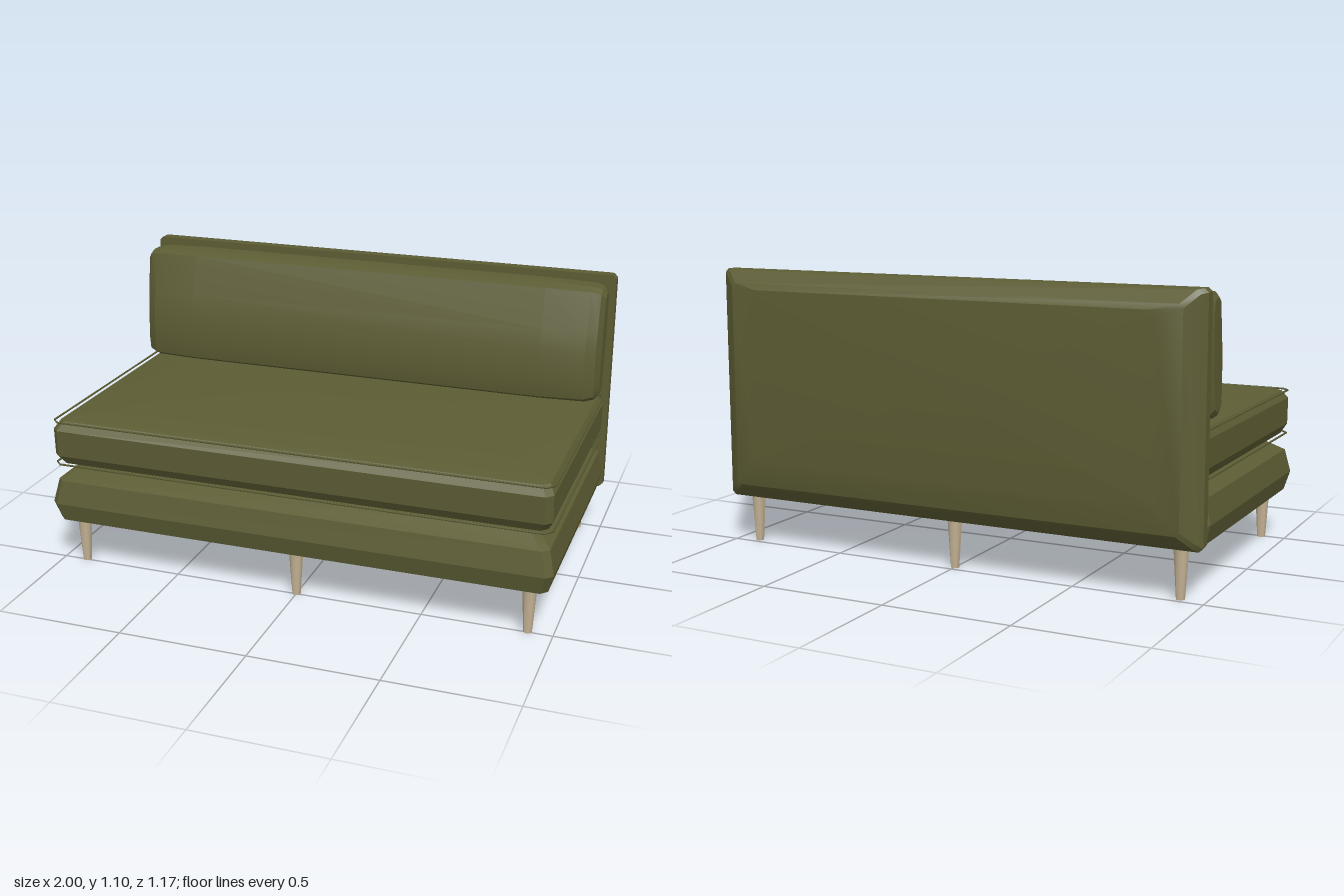
import * as THREE from 'three';
import { toCreasedNormals } from 'three/addons/utils/BufferGeometryUtils.js';

// Places ring coordinates (u, v, w) so that w runs along the loft axis
const AXES = {
  x: (u, v, w) => [w, u, v],
  y: (u, v, w) => [v, w, u],
  z: (u, v, w) => [u, v, w],
};

// Rectangle with chamfered corners, counter-clockwise in (u, v)
function rect(u0, u1, v0, v1, c) {
  return [
    [u1, v0 + c], [u1, v1 - c], [u1 - c, v1], [u0 + c, v1],
    [u0, v1 - c], [u0, v0 + c], [u0 + c, v0], [u1 - c, v0],
  ];
}

// Closed solid through rings [{ w, pts }], in order of rising w
function loft(axis, rings) {
  const place = AXES[axis], n = rings[0].pts.length, pos = [], index = [];
  for (const { w, pts } of rings) for (const [u, v] of pts) pos.push(...place(u, v, w));
  for (let j = 0; j < rings.length - 1; j++) {
    for (let i = 0; i < n; i++) {
      const a = j * n + i, b = j * n + (i + 1) % n;
      index.push(a, b, b + n, a, b + n, a + n);
    }
  }
  const cap = (j, flip) => {
    const { w, pts } = rings[j], centre = pos.length / 3;
    const mean = (k) => pts.reduce((s, p) => s + p[k], 0) / n;
    pos.push(...place(mean(0), mean(1), w));
    for (let i = 0; i < n; i++) {
      const a = j * n + i, b = j * n + (i + 1) % n;
      index.push(centre, flip ? b : a, flip ? a : b);
    }
  };
  cap(0, true);
  cap(rings.length - 1, false);
  const g = new THREE.BufferGeometry();
  g.setAttribute('position', new THREE.Float32BufferAttribute(pos, 3));
  g.setIndex(index);
  return toCreasedNormals(g, 0.4);
}

export function createModel() {
  const group = new THREE.Group();
  const fabric = new THREE.MeshStandardMaterial({ color: 0x5c5c34 });
  fabric.name = 'olive fabric';
  const wood = new THREE.MeshStandardMaterial({ color: 0xc4b294 });
  wood.name = 'pale wood';
  const add = (name, geometry, material) => {
    const mesh = new THREE.Mesh(geometry, material);
    mesh.name = name;
    group.add(mesh);
    return mesh;
  };

  // Horizontal cushions: rows of [y, back z, front z, half width]
  const slab = (rows) => loft('y', rows.map(([y, z0, z1, x]) => (
    { w: y, pts: rect(z0, z1, -x, x, 0.025) })));

  add('base', slab([
    [0.18, -0.41, 0.5, 0.93],
    [0.197, -0.462, 0.565, 0.98],
    [0.27, -0.468, 0.585, 1.0],
    [0.363, -0.465, 0.565, 0.98],
    [0.405, -0.41, 0.495, 0.92],
    [0.417, -0.3, 0.4, 0.75],
  ]), fabric);

  add('seatCushion', slab([
    [0.416, -0.3, 0.4, 0.75],
    [0.42, -0.41, 0.49, 0.93],
    [0.433, -0.445, 0.545, 0.965],
    [0.47, -0.458, 0.57, 0.985],
    [0.575, -0.458, 0.573, 0.985],
    [0.608, -0.445, 0.545, 0.965],
    [0.62, -0.4, 0.5, 0.92],
    [0.63, -0.23, 0.34, 0.72],
    [0.638, -0.1, 0.2, 0.45],
    [0.642, -0.03, 0.08, 0.2],
  ]), fabric);

  // Thin piping along both edges of the seat cushion
  for (const [name, y] of [['upperPiping', 0.608], ['lowerPiping', 0.433]]) {
    const corners = rect(-0.452, 0.565, -0.985, 0.985, 0.025)
      .map(([z, x]) => new THREE.Vector3(x, y, z));
    const path = new THREE.CurvePath();
    corners.forEach((p, i) => path.add(new THREE.LineCurve3(p, corners[(i + 1) % 8])));
    add(name, new THREE.TubeGeometry(path, 160, 0.004, 5, true), fabric);
  }

  // Back cushion: side profile [y, z], shrinking towards both ends
  const profile = [
    [1.09, -0.42], [1.09, -0.345], [1.075, -0.308], [0.92, -0.262], [0.84, -0.243],
    [0.7, -0.235], [0.645, -0.245], [0.625, -0.285], [0.622, -0.35], [0.64, -0.39],
    [0.78, -0.438], [0.88, -0.457], [1.0, -0.464], [1.075, -0.455],
  ];
  const ends = [[-0.985, 0.86, 0.42], [-0.968, 0.95, 0.72], [-0.93, 0.985, 0.92], [-0.75, 1, 1],
    [0.75, 1, 1], [0.93, 0.985, 0.92], [0.968, 0.95, 0.72], [0.985, 0.86, 0.42]];
  add('backCushion', loft('x', ends.map(([x, sy, sz]) => ({
    w: x,
    pts: profile.map(([y, z]) => [0.856 + (y - 0.856) * sy, -0.36 + (z + 0.36) * sz]),
  }))), fabric);

  // Backrest panel: rows of [z, half width, bottom y, top y], bevelled at the rear
  add('backPanel', loft('z', [
    [-0.585, 0.83, 0.35, 1.03],
    [-0.57, 0.93, 0.25, 1.053],
    [-0.535, 0.98, 0.205, 1.1],
    [-0.515, 1.0, 0.19, 1.104],
    [-0.474, 1.0, 0.195, 1.104],
  ].map(([z, x, y0, y1]) => ({ w: z, pts: rect(-x, x, y0, y1, 0.015) }))), fabric);

  // Six tapered legs
  const leg = toCreasedNormals(new THREE.CylinderGeometry(0.028, 0.016, 0.187, 10), 0.8);
  for (const z of [0.495, -0.47]) {
    for (const x of [-0.905, 0, 0.905]) {
      add(z > 0 ? 'frontLeg' : 'backLeg', leg, wood).position.set(x, 0.0935, z);
    }
  }
  return group;
}
